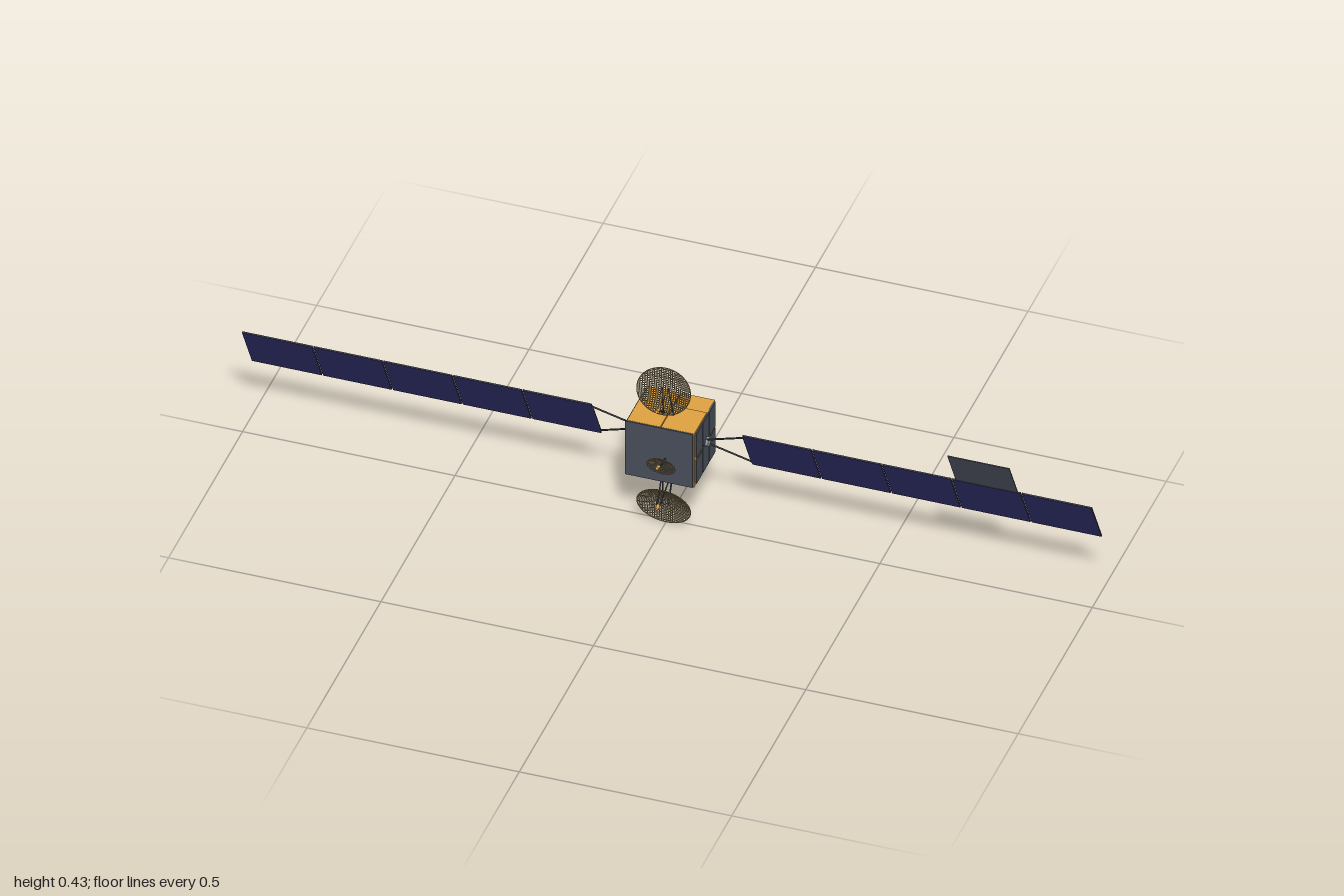
import * as THREE from 'three';

const mat = (name, color) => {
  const m = new THREE.MeshStandardMaterial({ color });
  m.name = name;
  return m;
};
const gold = mat('gold foil', 0xdca040);
const dark = mat('dark slate', 0x484d59);
const frame = mat('dark frame', 0x343841);
const blue = mat('solar blue', 0x2b2c62);
const grey = mat('panel back grey', 0x959ca5);
const ringGrey = mat('adapter ring grey', 0x848a95);
const wire = mat('mesh wire', 0x94835f);

const V = (x, y, z) => new THREE.Vector3(x, y, z);

function add(parent, name, geo, material, x = 0, y = 0, z = 0) {
  const m = new THREE.Mesh(geo, material);
  m.name = name;
  m.position.set(x, y, z);
  parent.add(m);
  return m;
}

// Box given by its extents on each axis
function block(parent, name, material, [x0, x1], [y0, y1], [z0, z1]) {
  return add(parent, name, new THREE.BoxGeometry(x1 - x0, y1 - y0, z1 - z0), material,
    (x0 + x1) / 2, (y0 + y1) / 2, (z0 + z1) / 2);
}

// Round bar between two points
function strut(parent, name, a, b, r, material = frame, sides = 8) {
  const d = b.clone().sub(a);
  const m = add(parent, name, new THREE.CylinderGeometry(r, r, d.length(), sides), material);
  m.position.copy(a).addScaledVector(d, 0.5);
  m.quaternion.setFromUnitVectors(V(0, 1, 0), d.normalize());
  return m;
}

// Woven wire reflector: an elliptical bowl, open towards local +z
function dish(name, rx, ry, depth, wires, wireR) {
  const g = new THREE.Group();
  g.name = name;
  const point = (u, v) => V(u * rx, v * ry, depth * (u * u + v * v - 1));
  for (let i = -wires; i <= wires; i++) {
    const c = i / (wires + 1), h = Math.sqrt(1 - c * c);
    for (const across of [true, false]) {
      const pts = [];
      for (let k = -4; k <= 4; k++) pts.push(across ? point(h * k / 4, c) : point(c, h * k / 4));
      add(g, 'meshWire', new THREE.TubeGeometry(new THREE.CatmullRomCurve3(pts), 12, wireR, 4), wire);
    }
  }
  const rim = [];
  for (let k = 0; k < 24; k++) rim.push(point(Math.cos(k * Math.PI / 12), Math.sin(k * Math.PI / 12)));
  add(g, 'dishRim', new THREE.TubeGeometry(new THREE.CatmullRomCurve3(rim, true), 48, wireR * 1.2, 5, true), wire);
  return g;
}

function buildBody(root) {
  const body = new THREE.Group();
  body.name = 'body';
  root.add(body);
  block(body, 'core', gold, [-0.077, 0.077], [0.148, 0.284], [-0.041, 0.045]);
  block(body, 'rearCore', gold, [-0.075, 0.075], [0.149, 0.283], [-0.097, -0.041]);
  block(body, 'frontPlate', dark, [-0.083, 0.0765], [0.1425, 0.2895], [0.046, 0.0495]);

  // Foil blankets and dark seams on top and bottom
  for (const s of [1, -1]) {
    const y = (a, b) => [0.216 + s * a, 0.216 + s * b].sort((p, q) => p - q);
    for (const x of [[-0.079, -0.001], [0.001, 0.079]]) {
      block(body, 'foilBlanket', gold, x, y(0.066, 0.074), [-0.039, 0.046]);
      block(body, 'rearFoilBlanket', gold, x, y(0.066, 0.069), [-0.096, -0.0415]);
    }
    block(body, 'seam', frame, [-0.0012, 0.0012], y(0.068, 0.0745), [-0.039, -0.005]);
    block(body, 'rearFin', frame, [-0.0012, 0.0012], y(0.0735, 0.0745), [-0.078, -0.039]);
    block(body, 'crossSeam', frame, [-0.077, 0.077], y(0.066, 0.0685), [-0.0415, -0.039]);
  }

  // Radiator tiles on both sides, with gold showing between the rows
  for (const s of [1, -1]) {
    for (const y of [[0.147, 0.2135], [0.2185, 0.285]])
      for (const z of [[-0.09, -0.0485], [-0.0465, -0.005], [-0.003, 0.0375]])
        block(body, 'radiatorTile', dark, s > 0 ? [0.077, 0.082] : [-0.082, -0.077], y, z);
    for (const z of [-0.0475, -0.004])
      block(body, 'tileSeam', frame, s > 0 ? [0.075, 0.079] : [-0.079, -0.075],
        [0.148, 0.284], [z - 0.001, z + 0.001]);
    block(body, 'centreRail', gold, s > 0 ? [0.075, 0.0805] : [-0.0805, -0.075],
      [0.2135, 0.2185], [-0.09, 0.0375]);
  }

  // Stepped adapter ring on the back
  const profile = [[0.035, 0], [0.053, 0], [0.053, 0.009], [0.047, 0.009], [0.045, 0.006],
    [0.041, 0.006], [0.039, 0.009], [0.035, 0.009], [0.035, 0]].map(([r, y]) => new THREE.Vector2(r, y));
  const ringGeo = new THREE.LatheGeometry(profile, 40).toNonIndexed();
  ringGeo.computeVertexNormals();
  add(body, 'adapterRing', ringGeo, ringGrey, 0, 0.2155, -0.096).rotation.x = -Math.PI / 2;
}

function buildWings(root) {
  const wings = new THREE.Group();
  wings.name = 'solarWings';
  wings.position.set(0, 0.217, -0.031);
  wings.rotation.x = 0.495;
  root.add(wings);
  const half = 0.071, start = 0.178, pitch = (1 - start) / 5, gap = 0.0035;
  const faces = [frame, frame, frame, frame, blue, grey];
  for (const s of [1, -1]) {
    const wing = new THREE.Group();
    wing.name = s > 0 ? 'leftWing' : 'rightWing';
    wings.add(wing);
    for (let i = 0; i < 5; i++) {
      const w = pitch - (i < 4 ? gap : 0);
      const x = start + i * pitch + w / 2;
      add(wing, 'solarPanel', new THREE.BoxGeometry(w, half * 2, 0.0035), faces, s * x, 0, 0);
      // Dark hinge line along the rear of each joint
      if (i < 4) for (const e of [-1, 1])
        add(wing, 'hingeLine', new THREE.BoxGeometry(0.0016, half * 2, 0.001), frame,
          s * (x + w / 2 + gap / 2 + e * (gap / 2 + 0.0005)), 0, -0.0018);
    }
    // Hub and spreading yoke arms
    strut(wing, 'hub', V(s * 0.076, 0, 0), V(s * 0.088, 0, 0), 0.011, grey, 20);
    for (const t of [1, -1])
      strut(wing, 'yokeArm', V(s * 0.084, t * 0.009, 0), V(s * (start + 0.003), t * 0.061, 0), 0.0022);
    strut(wing, 'yokeBar', V(s * start, -0.062, 0), V(s * start, 0.062, 0), 0.002);
  }
  block(wings, 'sidePanel', dark, [0.68, 0.826], [half + 0.001, 0.191], [-0.0012, 0.0012]);
}

function buildAntennas(root) {
  // Large reflectors above and below, mirrored about the middle of the body
  for (const s of [1, -1]) {
    const g = new THREE.Group();
    g.name = s > 0 ? 'upperAntenna' : 'lowerAntenna';
    root.add(g);
    const at = (x, y, z) => V(x, 0.2155 + s * y, z);
    const bowl = dish('reflector', 0.063, 0.0555, 0.012, 11, 0.0011);
    bowl.position.copy(at(0, 0.1585, 0.025));
    bowl.rotation.x = -s * 0.27;
    g.add(bowl);
    for (const x of [-0.012, 0.012]) {
      strut(g, 'dishArm', at(x, 0.073, -0.007), at(x * 0.6, 0.16, 0.014), 0.0018);
      strut(g, 'feedArm', at(x, 0.073, -0.007), at(x * 0.25, 0.132, 0.062), 0.0016);
    }
    strut(g, 'feedHorn', at(0, 0.1315, 0.06), at(0, 0.135, 0.073), 0.0038, gold, 12);
  }
  // Small reflector on the front
  const f = new THREE.Group();
  f.name = 'frontAntenna';
  root.add(f);
  const bowl = dish('smallReflector', 0.033, 0.027, 0.006, 6, 0.0009);
  bowl.position.set(0.012, 0.206, 0.078);
  bowl.rotation.x = 0.3;
  f.add(bowl);
  strut(f, 'dishArm', V(0.012, 0.208, 0.048), V(0.012, 0.207, 0.073), 0.002);
  strut(f, 'feedArm', V(0.012, 0.207, 0.072), V(0.012, 0.217, 0.096), 0.0014);
  strut(f, 'feedHorn', V(0.012, 0.217, 0.093), V(0.012, 0.219, 0.105), 0.0038, gold, 12);
}

export function createModel() {
  const root = new THREE.Group();
  root.name = 'satellite';
  buildBody(root);
  buildWings(root);
  buildAntennas(root);
  return root;
}
